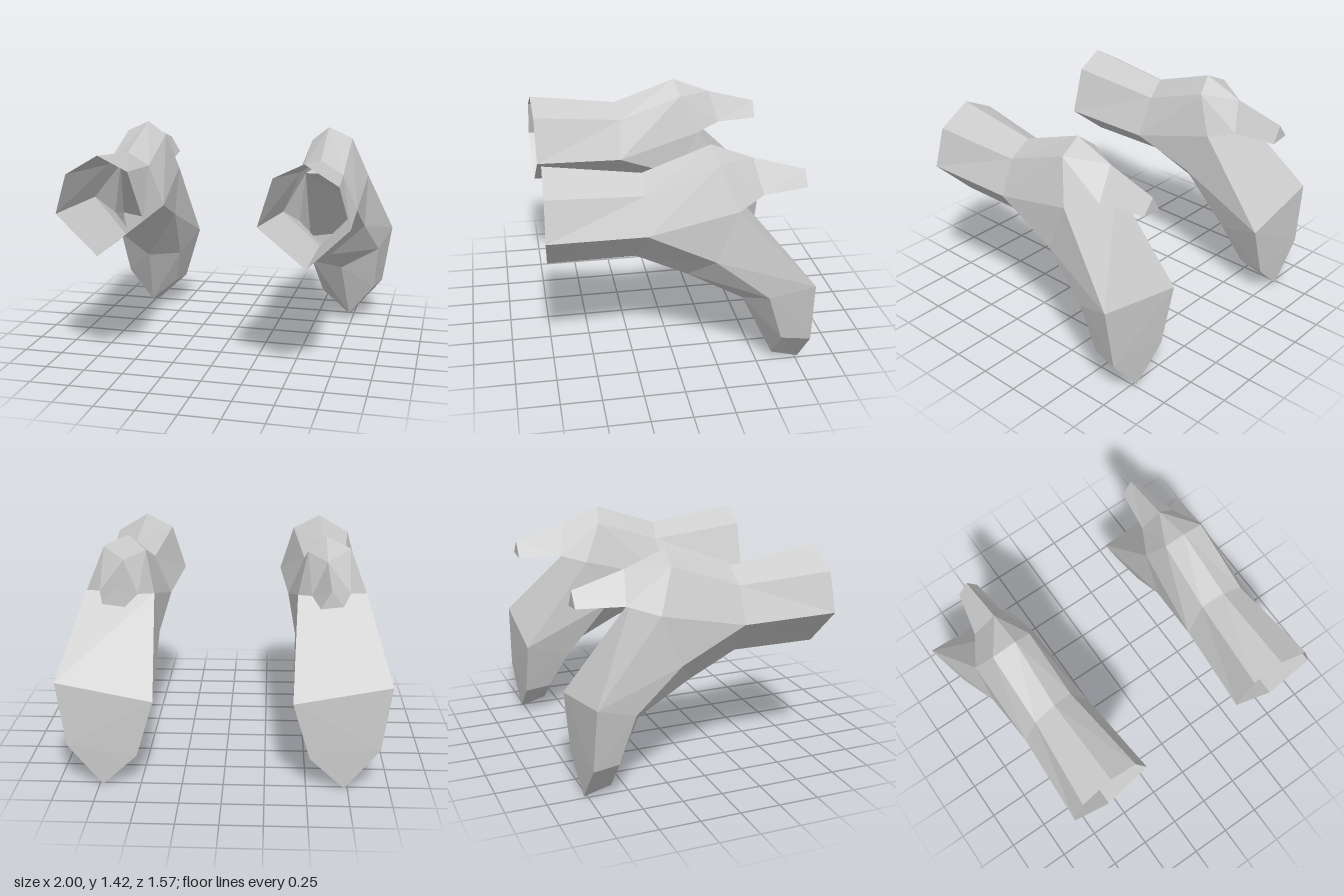
import * as THREE from 'three';

const material = new THREE.MeshStandardMaterial({
  color: 0xcccccc, flatShading: true, side: THREE.DoubleSide,
});

// Joins matching cross-sections with triangles; an optional tip closes the end.
// Repeated points in a section simply give triangles in place of quads.
function loft(name, side, sections, tip) {
  const pos = [];
  const tri = (a, b, c) => {
    if (a === b || b === c || c === a) return;
    for (const p of side > 0 ? [a, b, c] : [a, c, b]) pos.push(p[0] * side, p[1], p[2]);
  };
  const n = sections[0].length;
  for (let k = 0; k < sections.length - 1; k++) {
    const a = sections[k], b = sections[k + 1];
    for (let i = 0; i < n; i++) {
      const j = (i + 1) % n;
      if (i < n / 2) { // outer half
        tri(a[i], a[j], b[i]);
        tri(a[j], b[j], b[i]);
      } else { // inner half, mirrored diagonal
        tri(a[i], a[j], b[j]);
        tri(a[i], b[j], b[i]);
      }
    }
  }
  const last = sections[sections.length - 1];
  if (tip) last.forEach((p, i) => tri(tip, p, last[(i + 1) % n]));
  const g = new THREE.BufferGeometry();
  g.setAttribute('position', new THREE.Float32BufferAttribute(pos, 3));
  g.computeVertexNormals();
  const mesh = new THREE.Mesh(g, material);
  mesh.name = name;
  return mesh;
}

function createHalf(side) {
  const half = new THREE.Group();
  half.name = side > 0 ? 'leftPiece' : 'rightPiece';

  // Joint where the sleeve splits into spur and limb
  const peak = [0.61, 1.43, -0.21];
  const outerShoulder = [0.76, 1.36, -0.23], innerShoulder = [0.5, 1.34, -0.24];
  const outerCrotch = [0.86, 1.105, -0.33], innerCrotch = [0.44, 1.095, -0.35];
  const outerSide = [0.86, 0.79, -0.2], innerSide = [0.43, 0.8, -0.2];
  const keel = [0.66, 0.62, -0.07];

  // Open sleeve: six-sided, each ring runs top, outer side, keel, inner side
  const ring = (t, os, o, k, i, is) => [t, os, o, o, k, i, i, is];
  half.add(loft('sleeve', side, [
    ring([0.61, 1.36, 0.77], [0.81, 1.24, 0.775], [0.88, 1.0, 0.78],
      [0.63, 0.75, 0.767], [0.34, 0.98, 0.755], [0.43, 1.27, 0.76]),
    ring([0.62, 1.285, 0.2], [0.76, 1.2, 0.2], [0.85, 0.985, 0.2],
      [0.63, 0.755, 0.24], [0.39, 0.95, 0.19], [0.49, 1.2, 0.17]),
    [peak, outerShoulder, outerCrotch, outerSide, keel, innerSide, innerCrotch, innerShoulder],
  ]));

  // Upper spur: triangular, closed at the back
  const wedge = (t, o, i) => [t, o, o, i, i];
  half.add(loft('spur', side, [
    [peak, outerShoulder, outerCrotch, innerCrotch, innerShoulder],
    wedge([0.61, 1.33, -0.46], [0.75, 1.15, -0.5], [0.52, 1.135, -0.51]),
    wedge([0.62, 1.24, -0.78], [0.69, 1.15, -0.78], [0.56, 1.135, -0.78]),
  ], [0.62, 1.18, -0.78]));

  // Lower limb: five-sided, bending down to a pointed toe
  half.add(loft('limb', side, [
    [outerCrotch, outerSide, keel, innerSide, innerCrotch],
    [[1.0, 0.655, -0.765], [0.93, 0.56, -0.51], [0.69, 0.44, -0.41],
      [0.48, 0.45, -0.48], [0.415, 0.55, -0.785]],
    [[0.94, 0.26, -0.775], [0.9, 0.26, -0.605], [0.73, 0.05, -0.6],
      [0.54, 0.21, -0.605], [0.52, 0.2, -0.78]],
  ], [0.73, 0.005, -0.77]));
  return half;
}

export function createModel() {
  const model = new THREE.Group();
  model.name = 'mirroredPair';
  for (const side of [1, -1]) model.add(createHalf(side));
  return model;
}
